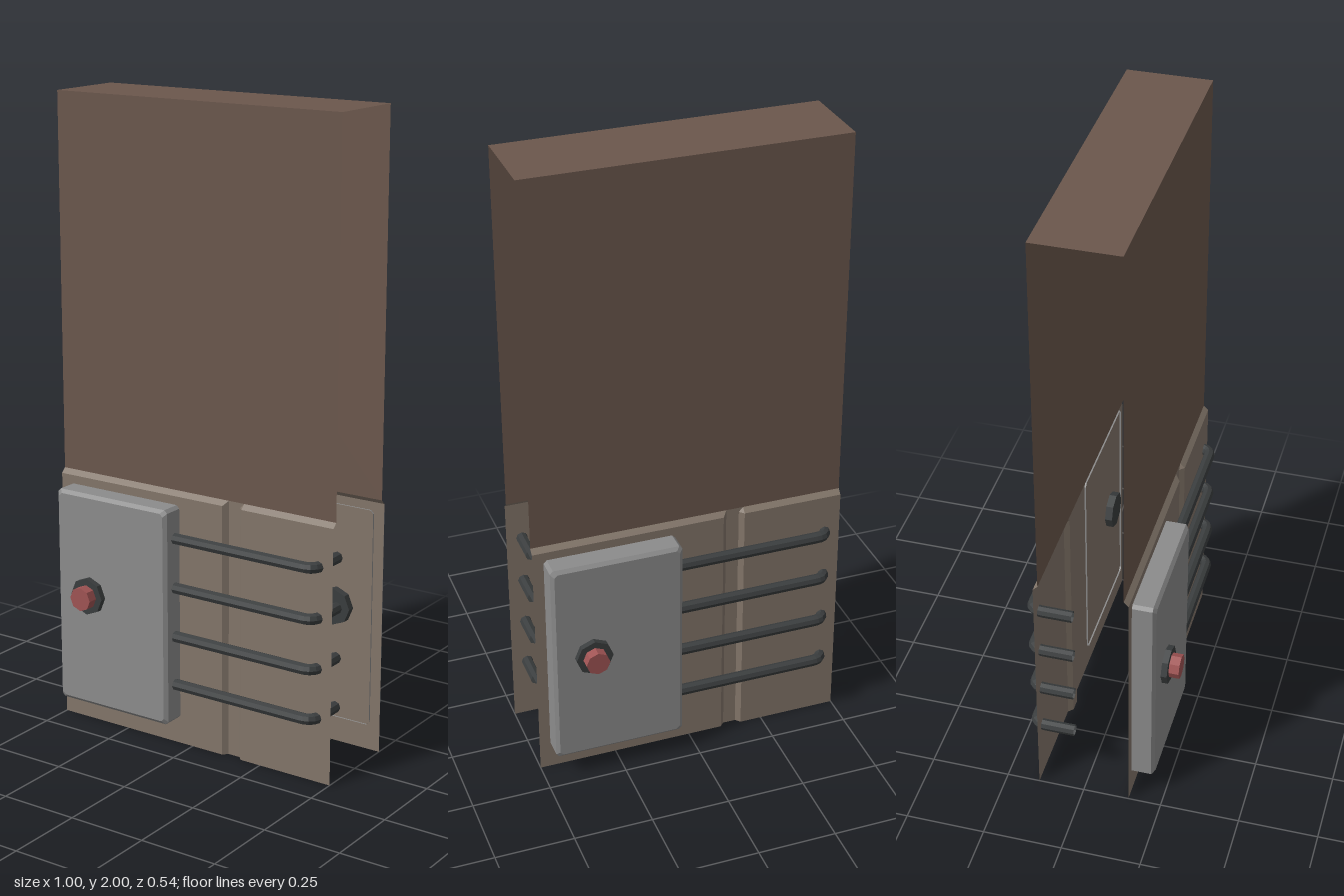
import * as THREE from 'three';

const mat = (color) => new THREE.MeshStandardMaterial({ color, flatShading: true, side: THREE.DoubleSide });
const brown = mat(0x6b574c), tan = mat(0x83766a), grey = mat(0x8c8c8c), dark = mat(0x3a3d3e), red = mat(0xa05454);

function add(parent, name, geometry, material) {
  const mesh = new THREE.Mesh(geometry, material);
  mesh.name = name;
  parent.add(mesh);
  return mesh;
}

// Skin of quads between successive rows of points
function skin(rows) {
  const index = [], n = rows[0].length;
  for (let r = 0; r < rows.length - 1; r++) {
    for (let i = 0; i < n - 1; i++) {
      const a = r * n + i, b = a + n;
      index.push(a, a + 1, b + 1, a, b + 1, b);
    }
  }
  const g = new THREE.BufferGeometry();
  g.setAttribute('position', new THREE.Float32BufferAttribute(rows.flat(2), 3));
  g.setIndex(index);
  const flat = g.toNonIndexed();
  flat.computeVertexNormals();
  return flat;
}

// Closed rectangle with cut corners, shrunk by inset, at depth z
function boxRing(inset, z, cut = 0.01) {
  const w = 0.209 - inset, h = 0.348 - inset;
  const ring = [
    [w, -h + cut], [w, h - cut], [w - cut, h], [-w + cut, h],
    [-w, h - cut], [-w, -h + cut], [-w + cut, -h], [w - cut, -h],
  ].map(([x, y]) => [x, y, z]);
  return [...ring, ring[0]];
}

// Everything fixed to one face
function createSide(name) {
  const side = new THREE.Group();
  side.name = name;

  // Thin sheet with a vertical groove and a folded top edge
  const outer = 0.146, inner = 0.131;
  const profile = [[-0.5, outer], [0.111, outer], [0.125, inner], [0.166, inner], [0.18, outer], [0.5, outer]];
  add(side, 'lowerSheet', skin([
    profile.map(([x, z]) => [x, 0, z]),
    profile.map(([x, z]) => [x, 0.805, z]),
    profile.map(([x]) => [x, 0.82, inner]),
  ]), tan);

  // Bevelled housing, open at the back
  const front = boxRing(0.011, 0.219);
  const housing = add(side, 'housing', skin([
    boxRing(0, 0.141), boxRing(0, 0.209), front, front.map(() => [0, 0, 0.219]),
  ]), grey);
  housing.position.set(-0.256, 0.43, 0);

  // Octagonal washer running through the housing, and bolt head
  const peg = (part, radius, z0, z1, material) => {
    const g = new THREE.CylinderGeometry(radius, radius, z1 - z0, 8).rotateX(Math.PI / 2);
    add(side, part, g, material).position.set(-0.339, 0.452, (z0 + z1) / 2);
  };
  peg('washer', 0.059, 0.122, 0.238, dark);
  peg('boltHead', 0.038, 0.238, 0.27, red);

  // Pipes leave the housing and bend inward through the sheet
  const path = new THREE.CurvePath();
  const v = (x, z) => new THREE.Vector3(x, 0, z);
  path.add(new THREE.LineCurve3(v(-0.06, 0.171), v(0.415, 0.171)));
  path.add(new THREE.QuadraticBezierCurve3(v(0.415, 0.171), v(0.451, 0.171), v(0.451, 0.135)));
  path.add(new THREE.LineCurve3(v(0.451, 0.135), v(0.451, 0.04)));
  const pipe = new THREE.TubeGeometry(path, 48, 0.018, 8, false);
  for (const y of [0.205, 0.363, 0.521, 0.68]) add(side, 'pipe', pipe, dark).position.y = y;
  return side;
}

export function createModel() {
  const model = new THREE.Group();

  // Upper cover: front, top and back panels, open at both ends and below
  const bend = [[0.82, 0.131], [2, 0.131], [2, -0.131], [0.82, -0.131]];
  add(model, 'upperCover', skin(bend.map(([y, z]) => [[-0.5, y, z], [0.5, y, z]])), brown);

  const back = createSide('backSide');
  back.rotation.y = Math.PI;
  model.add(createSide('frontSide'), back);
  return model;
}
